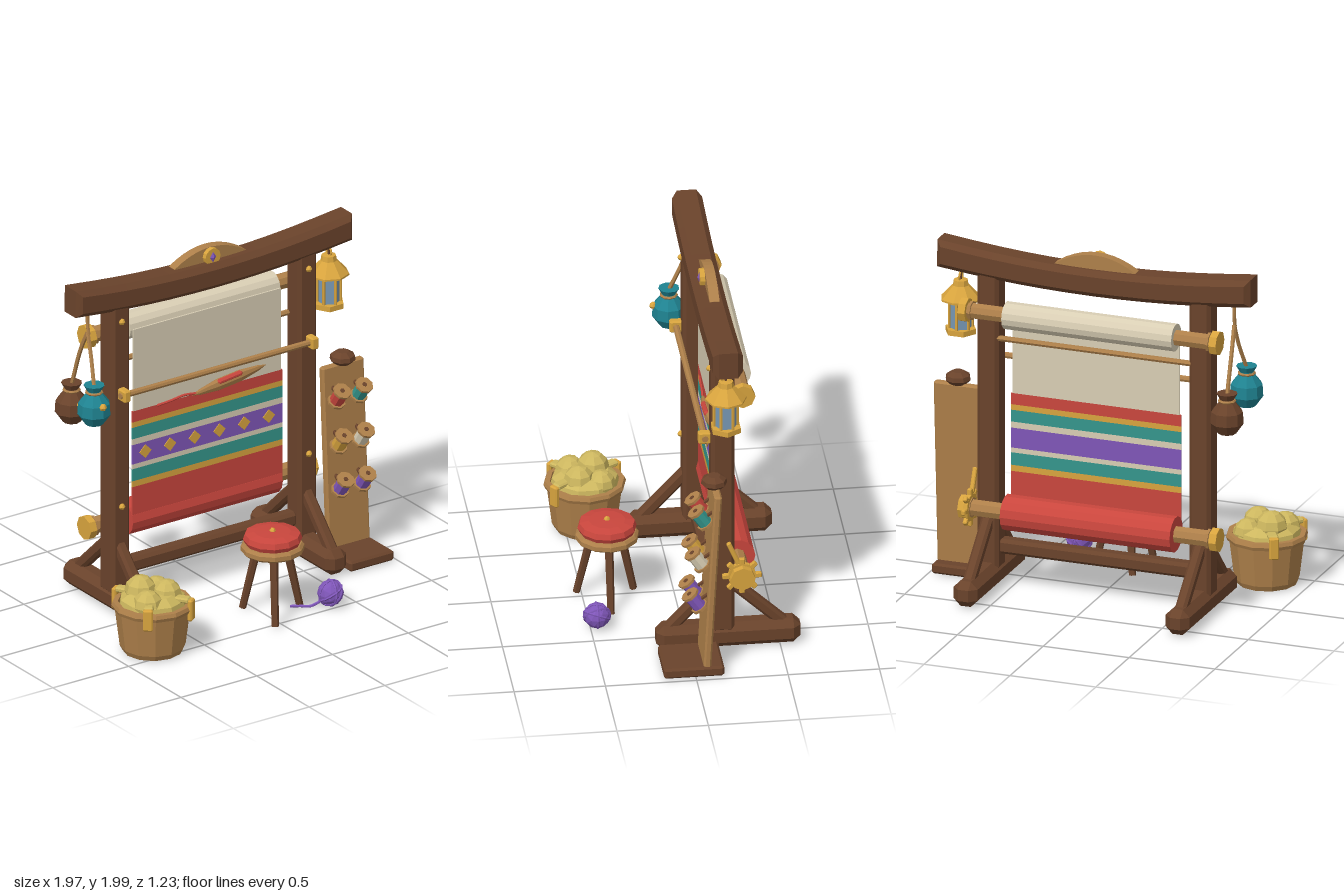
import * as THREE from 'three';
import { ConvexGeometry } from 'three/addons/geometries/ConvexGeometry.js';

const V = (x, y, z) => new THREE.Vector3(x, y, z);
const paint = (name, color) => {
  const m = new THREE.MeshStandardMaterial({ color, flatShading: true });
  m.name = name;
  return m;
};

// Box with its edges cut at an angle
function chamferBox(w, h, d, c) {
  const pts = [], s = [-1, 1];
  for (const i of s) for (const j of s) for (const k of s) {
    pts.push(V(i * w / 2, j * (h / 2 - c), k * (d / 2 - c)));
    pts.push(V(i * (w / 2 - c), j * h / 2, k * (d / 2 - c)));
    pts.push(V(i * (w / 2 - c), j * (h / 2 - c), k * d / 2));
  }
  return new ConvexGeometry(pts);
}
const lathe = (pts, n) => new THREE.LatheGeometry(pts.map(p => new THREE.Vector2(p[0], p[1])), n);
const cyl = (r1, r2, h, n = 8) => new THREE.CylinderGeometry(r1, r2, h, n);
const tube = (pts, r, n = 16) => new THREE.TubeGeometry(new THREE.CatmullRomCurve3(pts), n, r, 6);

export function createModel() {
  const root = new THREE.Group();
  const dark = paint('dark wood', 0x6a432b), tan = paint('light wood', 0xae804a);
  const gold = paint('gold', 0xd8a43e), cream = paint('cream wool', 0xd9ceb4);
  const red = paint('red wool', 0xc9463d), teal = paint('teal wool', 0x35968c);
  const purple = paint('purple wool', 0x7f56b8), straw = paint('straw wool', 0xcdb75f);
  const glass = paint('lantern glass', 0x7898b4), blue = paint('pouch teal', 0x1f8391);

  const add = (name, geo, mat, x = 0, y = 0, z = 0, parent = root) => {
    const m = new THREE.Mesh(geo, mat);
    m.name = name;
    m.position.set(x, y, z);
    parent.add(m);
    return m;
  };
  const group = (name, x, y, z) => {
    const g = new THREE.Group();
    g.name = name;
    g.position.set(x, y, z);
    root.add(g);
    return g;
  };
  // Stand a y-aligned geometry builder between two points
  const between = (name, a, b, make, mat, parent = root) => {
    const dir = b.clone().sub(a), mid = a.clone().add(b).multiplyScalar(0.5);
    const m = add(name, make(dir.length()), mat, mid.x, mid.y, mid.z, parent);
    m.quaternion.setFromUnitVectors(V(0, 1, 0), dir.normalize());
    return m;
  };
  const rodX = (name, r, x0, x1, y, z, mat, n = 8) =>
    between(name, V(x0, y, z), V(x1, y, z), l => cyl(r, r, l, n), mat);

  // Frame sides
  const Z = -0.185;
  for (const s of [-1, 1]) {
    const x = s * 0.617;
    add('post', chamferBox(0.125, 1.75, 0.13, 0.02), dark, x, 0.985, Z);
    add('foot', chamferBox(0.14, 0.145, 0.79, 0.04), dark, x, 0.083, -0.218);
    const brace = l => chamferBox(0.065, l, 0.065, 0.015);
    between('frontBrace', V(x, 0.1, 0.13), V(x, 0.41, -0.16), brace, dark);
    between('backBrace', V(x, 0.1, -0.55), V(x, 0.43, -0.2), brace, dark);
    for (const y of [0.63, 1.73]) add('postStud', new THREE.OctahedronGeometry(0.019, 1), gold, x, y, -0.118);
    add('barBracket', chamferBox(0.045, 0.07, 0.07, 0.008), gold, s * 0.62, 1.305, -0.09);
  }
  add('lowerCrossbeam', chamferBox(1.13, 0.085, 0.085, 0.018), dark, 0, 0.245, Z);

  // Curved top beam
  const shape = new THREE.Shape(), N = 12, bev = 0.03;
  const beamY = t => 1.843 + 0.06 * t * t;
  for (let i = 0; i <= N; i++) {
    const t = i / N * 2 - 1;
    shape[i ? 'lineTo' : 'moveTo'](t * 0.883, beamY(t) - 0.045 - 0.008 * t * t);
  }
  for (let i = N; i >= 0; i--) {
    const t = i / N * 2 - 1;
    shape.lineTo(t * 0.883, beamY(t) + 0.045);
  }
  add('topBeam', new THREE.ExtrudeGeometry(shape, {
    depth: 0.105, bevelThickness: bev, bevelSize: bev, bevelSegments: 1, steps: 1,
  }), dark, 0, 0, Z - 0.0525);

  // Crest on the beam
  const arc = new THREE.Shape();
  arc.moveTo(-0.235, 1.9);
  for (let i = 0; i <= 10; i++) {
    const t = i / 5 - 1;
    arc.lineTo(t * 0.235, 1.925 + 0.075 * (1 - t * t));
  }
  arc.lineTo(0.235, 1.9);
  add('crest', new THREE.ExtrudeGeometry(arc, { depth: 0.055, bevelEnabled: false }), tan, 0, 0, -0.222);
  add('crestDisc', cyl(0.05, 0.05, 0.03, 12), gold, 0, 1.95, -0.155).rotation.x = Math.PI / 2;
  const gem = add('crestGem', new THREE.OctahedronGeometry(0.028), purple, 0, 1.95, -0.14);
  gem.scale.set(0.75, 1.1, 0.4);

  // Rollers and rods
  const RZ = -0.285;
  for (const [y, r, mat, ar] of [[1.612, 0.077, cream, 0.045], [0.475, 0.1, red, 0.048]]) {
    rodX('rollerAxle', ar, -0.73, 0.73, y, RZ, tan);
    rodX('woundCloth', r, -0.497, 0.492, y, RZ, mat, 14);
    for (const s of [-1, 1]) {
      rodX('axleCap', 0.068, s * 0.71, s * 0.752, y, RZ, gold);
      rodX('axleCollar', ar + 0.01, s * 0.685, s * 0.7, y, RZ, tan);
    }
  }
  rodX('ratchetWheel', 0.078, 0.69, 0.715, 0.475, RZ, gold, 12);
  for (let i = 0; i < 8; i++) {
    const a = i * Math.PI / 4;
    add('ratchetTooth', chamferBox(0.025, 0.045, 0.03, 0.005), gold, 0.703,
      0.475 + 0.085 * Math.cos(a), RZ + 0.085 * Math.sin(a)).rotation.x = a;
  }
  between('ratchetPawl', V(0.7, 0.68, -0.21), V(0.7, 0.55, -0.265), l => chamferBox(0.025, l, 0.026, 0.005), gold);
  rodX('backRod', 0.016, -0.58, 0.58, 1.45, -0.225, tan, 6);
  rodX('heddleBar', 0.018, -0.65, 0.65, 1.305, -0.09, tan);

  // Woven cloth, one plate per stripe
  const CZ = -0.2;
  const bands = [[1.62, cream], [1.135, red], [1.07, gold], [1.038, teal], [0.97, cream], [0.935, purple],
    [0.82, cream], [0.792, teal], [0.72, gold], [0.685, red], [0.475]];
  for (let i = 0; i < bands.length - 1; i++) {
    const top = bands[i][0], bot = bands[i + 1][0];
    add('clothBand', new THREE.BoxGeometry(i ? 0.99 : 0.972, top - bot, 0.009), bands[i][1], 0, (top + bot) / 2, CZ);
  }
  for (let i = 0; i < 6; i++) {
    const d = add('clothDiamond', new THREE.CylinderGeometry(0.04, 0.04, 0.006, 4), gold, -0.41 + i * 0.163, 0.88, CZ + 0.006);
    d.rotation.x = Math.PI / 2;
  }

  // Shuttle with trailing yarn
  const shuttle = group('shuttle', 0.125, 1.175, -0.17);
  shuttle.rotation.z = 0.12;
  const hull = add('shuttleHull', lathe([[0, -0.25], [0.018, -0.19], [0.036, -0.07], [0.036, 0.07], [0.018, 0.19], [0, 0.25]], 8), tan, 0, 0, 0, shuttle);
  hull.rotation.z = -Math.PI / 2;
  hull.scale.z = 0.7;
  add('shuttleYarn', chamferBox(0.16, 0.03, 0.03, 0.01), red, 0, 0.022, 0.013, shuttle);
  add('looseYarn', tube([V(-0.34, 1.136, -0.185), V(-0.25, 1.145, -0.18), V(-0.17, 1.158, -0.175), V(-0.08, 1.15, -0.17)], 0.007), red);

  // Hanging lantern
  const lan = group('lantern', 0.795, 0, Z);
  add('lanternHook', cyl(0.007, 0.007, 0.12, 6), dark, 0, 1.79, 0, lan);
  add('lanternRing', new THREE.TorusGeometry(0.024, 0.006, 5, 10), gold, 0, 1.765, 0, lan).rotation.y = Math.PI / 2;
  add('lanternRoof', lathe([[0, 1.628], [0.113, 1.632], [0.113, 1.642], [0.045, 1.715], [0.04, 1.745], [0, 1.75]], 8), gold, 0, 0, 0, lan);
  add('lanternGlass', cyl(0.06, 0.06, 0.17, 6), glass, 0, 1.55, 0, lan);
  add('lanternBase', cyl(0.088, 0.088, 0.03, 6), gold, 0, 1.455, 0, lan).rotation.y = Math.PI / 6;
  for (let i = 0; i < 6; i++) {
    const a = i * Math.PI / 3;
    add('lanternBar', cyl(0.009, 0.009, 0.18, 5), gold, 0.064 * Math.sin(a), 1.55, 0.064 * Math.cos(a), lan);
  }

  // Hanging pouches
  const pouch = [[0, 0], [0.05, 0.005], [0.092, 0.065], [0.088, 0.13], [0.045, 0.185], [0.038, 0.2], [0.058, 0.235], [0, 0.235]];
  for (const [name, x, y, z, mat] of [['tealPouch', -0.828, 1.19, -0.078, blue], ['brownPouch', -0.808, 1.11, -0.322, dark]]) {
    add(name, lathe(pouch, 9), mat, x, y, z);
    add('pouchTie', new THREE.TorusGeometry(0.042, 0.009, 5, 9), tan, x, y + 0.192, z).rotation.x = Math.PI / 2;
    add('pouchButton', new THREE.OctahedronGeometry(0.022, 1), gold, x, y + 0.13, z + 0.085);
    add('pouchStrap', tube([V(-0.797, 1.69, Z), V(-0.805, 1.57, Z + (z - Z) * 0.4), V(x, y + 0.22, z)], 0.012), tan);
  }
  add('pouchHook', tube([V(-0.797, 1.85, Z), V(-0.797, 1.74, Z), V(-0.797, 1.68, Z + 0.01)], 0.011), tan);

  // Spool rack
  add('rackBase', chamferBox(0.29, 0.06, 0.33, 0.012), dark, 0.835, 0.04, 0.01);
  between('rackBoard', V(0.835, 0.06, -0.063), V(0.835, 1.12, -0.123), l => chamferBox(0.275, l, 0.042, 0.01), tan);
  add('rackFinial', lathe([[0, 0], [0.045, 0], [0.072, 0.025], [0.068, 0.05], [0.035, 0.072], [0, 0.072]], 8), dark, 0.838, 1.115, -0.115);
  const spoolColors = [[red, teal], [gold, cream], [purple, purple]];
  spoolColors.forEach((row, i) => row.forEach((mat, j) => {
    const g = group('spool', 0.76 + j * 0.146, [0.965, 0.705, 0.45][i], [-0.035, -0.017, -0.002][i]);
    g.rotation.x = 0.6;
    add('spoolYarn', cyl(0.04, 0.04, 0.085), mat, 0, 0, 0, g);
    for (const s of [-1, 1]) add('spoolFlange', cyl(0.051, 0.051, 0.015), tan, 0, s * 0.048, 0, g);
    add('spoolCore', cyl(0.014, 0.014, 0.118, 6), dark, 0, 0, 0, g);
    const peg = add('spoolPeg', cyl(0.011, 0.011, 0.08, 6), dark, 0, -0.01, -0.04, g);
    peg.rotation.x = Math.PI / 2;
  }));

  // Basket of wool
  const bk = group('basket', -0.765, 0, 0.39);
  add('basketBody', lathe([[0, 0.01], [0.165, 0.01], [0.18, 0.04], [0.208, 0.265], [0.19, 0.29], [0.18, 0.24], [0, 0.24]], 12), tan, 0, 0, 0, bk);
  add('basketRim', lathe([[0.19, 0.26], [0.218, 0.26], [0.226, 0.28], [0.218, 0.3], [0.19, 0.3], [0.19, 0.26]], 12), tan, 0, 0, 0, bk);
  add('woolMound', lathe([[0.19, 0.27], [0.18, 0.32], [0.13, 0.355], [0, 0.365]], 10), straw, 0, 0, 0, bk);
  for (const [x, y, z, r] of [[-0.045, 0.35, -0.05, 0.09], [0.065, 0.335, 0.04, 0.085], [-0.08, 0.315, 0.07, 0.085], [0.08, 0.31, -0.08, 0.08]])
    add('woolBall', new THREE.SphereGeometry(r, 8, 6), straw, x, y, z, bk);
  for (const a of [0.62, -0.72, -2.6]) {
    const s = Math.sin(a), c = Math.cos(a), at = (r, y) => V(r * s, y, r * c);
    const w = l => chamferBox(0.055, l, 0.03, 0.008);
    for (const [p, q] of [[at(0.12, 0.34), at(0.215, 0.325)], [at(0.222, 0.34), at(0.222, 0.215)]]) {
      const m = between('woolTuft', p, q, w, p.y > q.y + 0.05 ? gold : straw, bk);
      if (p.y > q.y + 0.05) m.rotation.set(0, a, 0);
      else m.quaternion.setFromEuler(new THREE.Euler(Math.PI / 2, a, 0, 'YXZ'));
    }
  }

  // Stool
  const st = group('stool', 0.04, 0, 0.37);
  add('stoolSeat', lathe([[0, 0.375], [0.155, 0.375], [0.174, 0.39], [0.174, 0.415], [0.16, 0.43], [0, 0.43]], 12), tan, 0, 0, 0, st);
  add('stoolCushion', lathe([[0, 0.425], [0.15, 0.43], [0.162, 0.455], [0.152, 0.485], [0.1, 0.497], [0, 0.5]], 12), red, 0, 0, 0, st);
  add('cushionButton', new THREE.OctahedronGeometry(0.018, 1), gold, 0, 0.5, 0, st);
  for (let i = 0; i < 3; i++) {
    const a = i * Math.PI * 2 / 3, c = Math.cos(a), s = Math.sin(a);
    between('stoolLeg', V(0.18 * c, 0.01, 0.18 * s), V(0.09 * c, 0.39, 0.09 * s), l => cyl(0.024, 0.02, l, 6), dark, st);
  }

  // Yarn ball with loose end
  const ball = group('yarnBall', 0.357, 0.085, 0.465);
  add('yarnCore', new THREE.IcosahedronGeometry(0.073, 1), purple, 0, 0, 0, ball);
  for (const [x, y] of [[0, 0], [1.2, 0.4], [0.6, 1.4], [1.9, 0.9]])
    add('yarnWrap', new THREE.TorusGeometry(0.071, 0.007, 5, 14), purple, 0, 0, 0, ball).rotation.set(x, y, 0);
  add('yarnTail', tube([V(0.16, 0.016, 0.36), V(0.21, 0.014, 0.385), V(0.25, 0.02, 0.43), V(0.31, 0.05, 0.455)], 0.008), purple);

  return root;
}
